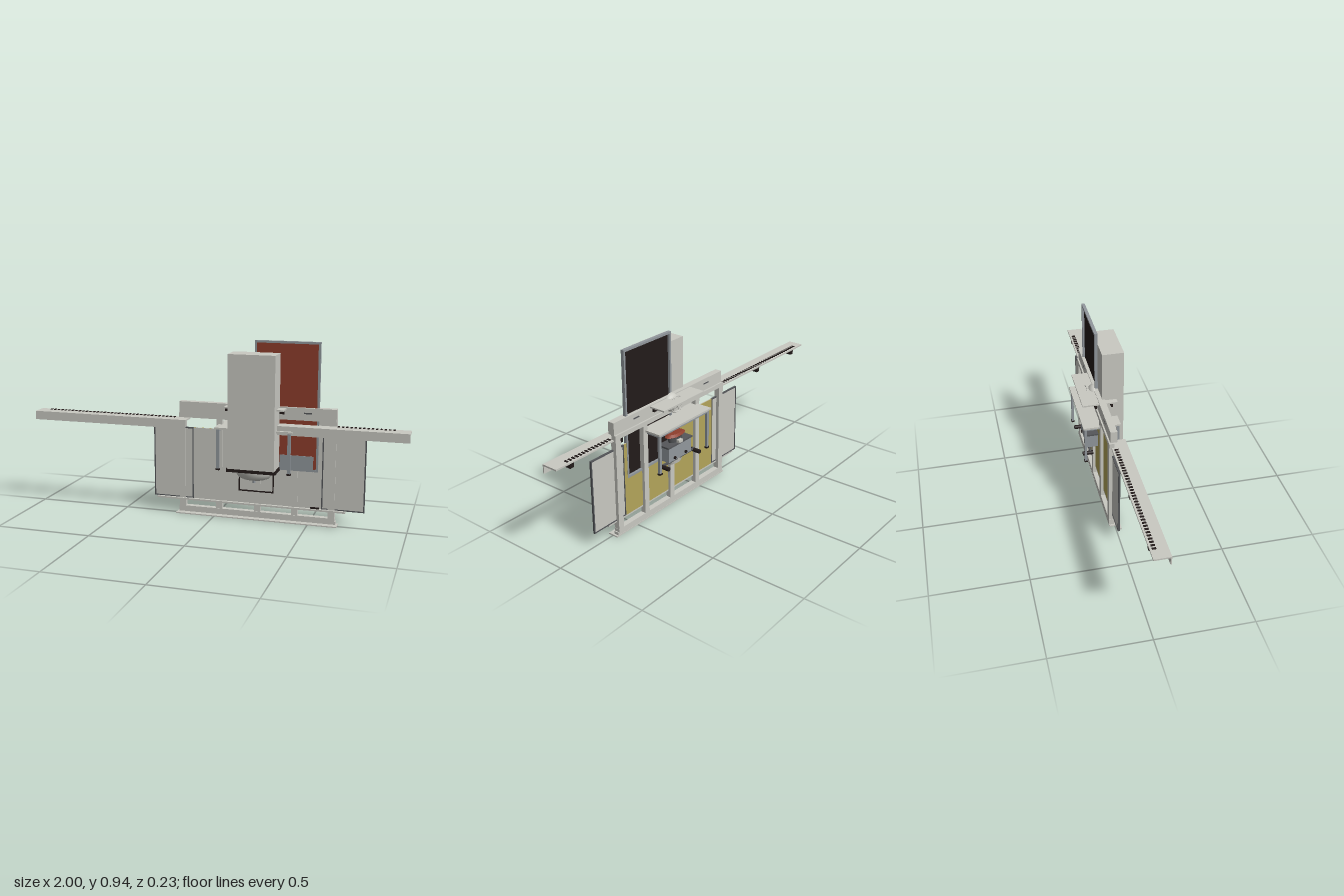
import * as THREE from 'three';

const mat = (name, color) => {
  const m = new THREE.MeshStandardMaterial({ color });
  m.name = name;
  return m;
};

export function createModel() {
  const root = new THREE.Group();
  const light = mat('light grey', 0xc9c9c2);
  const steel = mat('steel grey', 0x92989d);
  const dark = mat('dark grey', 0x55575a);
  const black = mat('black', 0x231b1a);
  const red = mat('rust red', 0x8f3e2c);
  const yellow = mat('ochre', 0xb3a55a);

  const add = (name, geo, m, parent = root) => {
    const mesh = new THREE.Mesh(geo, m);
    mesh.name = name;
    parent.add(mesh);
    return mesh;
  };
  // Box given by its limits on each axis
  const box = (name, m, x0, x1, y0, y1, z0, z1, parent = root) => {
    const b = add(name, new THREE.BoxGeometry(x1 - x0, y1 - y0, z1 - z0), m, parent);
    b.position.set((x0 + x1) / 2, (y0 + y1) / 2, (z0 + z1) / 2);
    return b;
  };
  const group = (name) => {
    const g = new THREE.Group();
    g.name = name;
    root.add(g);
    return g;
  };
  // Rectangular border made of four bars
  const border = (name, m, x0, x1, y0, y1, z0, z1, t, parent = root) => {
    box(name, m, x0, x0 + t, y0, y1, z0, z1, parent);
    box(name, m, x1 - t, x1, y0, y1, z0, z1, parent);
    box(name, m, x0 + t, x1 - t, y0, y0 + t, z0, z1, parent);
    box(name, m, x0 + t, x1 - t, y1 - t, y1, z0, z1, parent);
  };

  // Long angle rails with slots along the top and stops underneath
  const rails = group('rails');
  for (const [x0, x1] of [[-1, -0.14], [0.345, 1]]) {
    box('railTop', light, x0, x1, 0.514, 0.522, -0.018, 0.066, rails);
    box('railFlange', light, x0, x1, 0.476, 0.514, 0.06, 0.066, rails);
  }
  box('railTop', light, -0.2, -0.14, 0.514, 0.522, -0.018, 0.015, rails);
  for (const [x0, x1] of [[-0.935, -0.2], [0.645, 0.93]]) {
    for (let x = x0; x <= x1; x += 0.021)
      box('railSlot', black, x - 0.005, x + 0.005, 0.522, 0.525, -0.008, 0.012, rails);
  }
  for (const x of [-0.9, -0.55, 0.58, 0.9])
    box('railStop', black, x - 0.012, x + 0.012, 0.488, 0.514, -0.014, 0.028, rails);

  // Main frame: header beam, uprights and sill
  const frame = group('frame');
  box('headerBeam', light, -0.19, 0.635, 0.546, 0.61, -0.022, 0.014, frame);
  box('topRail', light, -0.2, 0.635, 0.522, 0.546, -0.03, -0.004, frame);
  for (const x of [-0.18, 0.617])
    box('outerPost', light, x - 0.017, x + 0.017, 0.025, 0.522, -0.03, 0, frame);
  for (const [x, top] of [[0.022, 0.522], [0.228, 0.27], [0.425, 0.522]])
    box('innerPost', light, x - 0.016, x + 0.016, 0.04, top, -0.03, -0.003, frame);
  box('lowerRail', light, -0.2, 0.635, 0.025, 0.042, -0.03, 0, frame);
  box('sill', light, -0.2, 0.64, 0.01, 0.025, -0.03, -0.003, frame);
  box('sillLip', light, -0.21, 0.65, 0.003, 0.009, -0.03, 0.026, frame);
  for (const x of [0.48, -0.06])
    box('beamSlot', dark, x - 0.02, x + 0.02, 0.58, 0.587, -0.0235, -0.022, frame);
  box('beamSlotFront', dark, 0.47, 0.51, 0.58, 0.587, 0.014, 0.0155, frame);

  // Side panels with darker edging
  const panels = group('panels');
  for (const [x0, x1] of [[-0.34, -0.12], [0.565, 0.785]]) {
    box('sidePanel', light, x0 + 0.006, x1 - 0.006, 0.091, 0.464, -0.013, -0.007, panels);
    border('sidePanelEdge', dark, x0, x1, 0.085, 0.47, -0.015, -0.005, 0.006, panels);
  }
  // Middle panel, notched round the screen, with a coloured back sheet
  const notch = new THREE.Shape([
    [-0.12, 0.085], [0.565, 0.085], [0.565, 0.47], [0.545, 0.47],
    [0.545, 0.28], [0.21, 0.28], [0.21, 0.47], [-0.12, 0.47],
  ].map(([x, y]) => new THREE.Vector2(x, y)));
  const sheet = (d) => new THREE.ExtrudeGeometry(notch, { depth: d, bevelEnabled: false });
  add('middlePanel', sheet(0.006), light, panels).position.z = -0.012;
  add('middlePanelBack', sheet(0.003), yellow, panels).position.z = -0.015;
  box('panelTrack', light, -0.32, 0.69, 0.077, 0.086, -0.015, 0.01, panels);
  box('trackClip', black, 0.51, 0.555, 0.086, 0.094, -0.005, 0.002, panels);
  border('hatchOutline', black, 0.13, 0.316, 0.15, 0.255, -0.006, 0.001, 0.006, panels);

  // Tall framed screen, red in front and black behind
  const screen = group('screen');
  border('screenFrame', steel, 0.21, 0.545, 0.28, 0.94, -0.016, 0.001, 0.011, screen);
  box('screenFront', red, 0.221, 0.534, 0.291, 0.929, -0.002, 0, screen);
  box('screenBack', black, 0.221, 0.534, 0.291, 0.929, -0.004, -0.002, screen);
  box('screenWindow', steel, 0.345, 0.52, 0.28, 0.36, 0, 0.003, screen);

  // Tall cabinet with dark base, bowl and spout
  const cabinet = group('cabinet');
  box('cabinetBody', light, 0.1, 0.343, 0.294, 0.88, 0, 0.114, cabinet);
  box('cabinetBase', black, 0.092, 0.348, 0.276, 0.294, -0.006, 0.109, cabinet);
  const bowl = add('bowl', new THREE.LatheGeometry([
    [0, 0.232], [0.055, 0.233], [0.08, 0.243], [0.093, 0.262], [0.095, 0.276],
  ].map(([x, y]) => new THREE.Vector2(x, y)), 40), light, cabinet);
  bowl.material.side = THREE.DoubleSide;
  bowl.scale.z = 0.58;
  bowl.position.set(0.224, 0, 0.05);
  add('spout', new THREE.CylinderGeometry(0.007, 0.007, 0.024, 16), steel, cabinet)
    .position.set(0.224, 0.224, 0.046);

  // Table with four legs and dark feet
  const table = group('table');
  box('tableTop', light, 0.02, 0.425, 0.487, 0.497, -0.117, 0.082, table);
  border('tableApron', steel, 0.03, 0.415, 0.474, 0.487, -0.11, -0.098, 0.006, table);
  for (const x of [0.036, 0.409]) {
    box('sideApron', steel, x - 0.006, x + 0.006, 0.474, 0.487, -0.1, 0.07, table);
    for (const z of [0.07, -0.104]) {
      box('tableLeg', steel, x - 0.008, x + 0.008, 0.28, 0.487, z - 0.006, z + 0.006, table);
      box('tableFoot', black, x - 0.01, x + 0.01, 0.272, 0.28, z - 0.008, z + 0.008, table);
    }
  }

  // Upper shelf on dark blocks
  const shelf = group('upperShelf');
  box('shelfTop', light, 0.07, 0.38, 0.597, 0.605, -0.11, 0.076, shelf);
  for (const x of [0.08, 0.365])
    for (const z of [-0.04, 0.045])
      box('shelfBlock', black, x - 0.012, x + 0.012, 0.58, 0.597, z - 0.005, z + 0.005, shelf);

  // Dome and handwheel behind the beam
  const wheel = group('handwheel');
  wheel.position.set(0.224, 0.574, -0.018);
  const dome = add('dome', new THREE.SphereGeometry(0.05, 28, 10, 0, Math.PI * 2, 0, Math.PI / 2), light, wheel);
  dome.rotation.x = -Math.PI / 2;
  dome.scale.y = 0.75;
  add('wheelRim', new THREE.TorusGeometry(0.043, 0.003, 8, 32), light, wheel).position.z = -0.041;
  for (let i = 0; i < 3; i++) {
    const spoke = add('wheelSpoke', new THREE.BoxGeometry(0.084, 0.005, 0.004), light, wheel);
    spoke.position.z = -0.041;
    spoke.rotation.z = i * Math.PI / 3;
  }

  // Rear burner unit with pot, red lid, hopper and knobs
  const unit = group('rearUnit');
  box('unitBody', steel, 0.135, 0.31, 0.285, 0.365, -0.077, -0.016, unit);
  box('unitCap', dark, 0.128, 0.317, 0.363, 0.372, -0.081, -0.014, unit);
  const disc = (name, m, r0, r1, h, y, sx = 1) => {
    const c = add(name, new THREE.CylinderGeometry(r0, r1, h, 32), m, unit);
    c.position.set(0.224, y, -0.046);
    c.scale.x = sx;
  };
  disc('pot', dark, 0.026, 0.022, 0.03, 0.387, 2);
  disc('potRim', black, 0.028, 0.028, 0.005, 0.403, 2);
  disc('lid', red, 0.024, 0.034, 0.012, 0.412, 2);
  disc('hopper', light, 0.026, 0.019, 0.034, 0.268, 2.2);
  box('sideTap', light, 0.21, 0.24, 0.371, 0.386, -0.087, -0.068, unit);
  const knob = (x, y, z, r, l) => {
    const k = add('knob', new THREE.CylinderGeometry(r, r, l, 16), black, unit);
    k.rotation.x = Math.PI / 2;
    k.position.set(x, y, z);
  };
  for (const x of [0.1, 0.345]) {
    knob(x, 0.275, -0.08, 0.011, 0.055);
    box('knobArm', dark, Math.min(x, 0.224), Math.max(x, 0.224), 0.275, 0.286, -0.07, -0.06, unit);
  }
  for (const x of [0.18, 0.265]) knob(x, 0.3, -0.08, 0.008, 0.008);
  return root;
}
